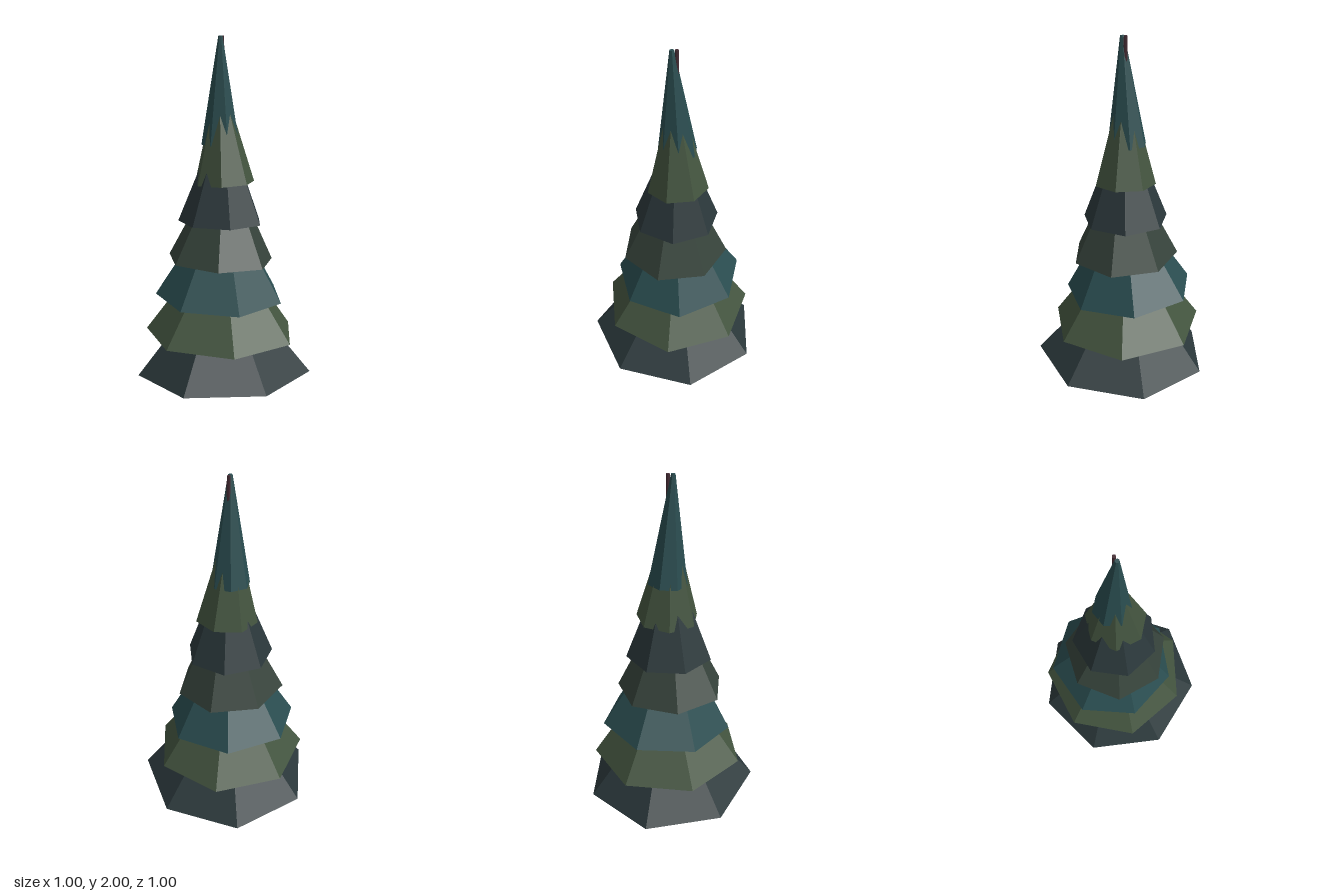
import * as THREE from 'three';

const SLATE = 0x2b383b, MOSS = 0x43543f, TEAL = 0x2a4d50, SAGE = 0x36433b, BARK = 0x452c34;
const TIER_HEIGHT = 0.6, TIP_RADIUS = 0.012;

// Branch tiers from the ground up: base centre, radius, angle of the first
// corner (degrees from +x towards +z), lean of the axis in x and z
const TIERS = [
  { base: [-0.014, 0.065, -0.014], radius: 0.515, corner: -6.7, lean: [0.007, -0.045], color: SLATE },
  { base: [-0.017, 0.285, -0.038], radius: 0.449, corner: 10.5, lean: [0.013, 0.01], color: MOSS },
  { base: [-0.015, 0.51, -0.055], radius: 0.38, corner: 3.1, lean: [-0.005, 0.06], color: TEAL },
  { base: [-0.029, 0.732, -0.03], radius: 0.312, corner: 21.4, lean: [0.03, 0.03], color: SAGE },
  { base: [-0.021, 0.955, -0.033], radius: 0.248, corner: 7.6, lean: [0.01, 0.015], color: SLATE },
  { base: [-0.004, 1.18, -0.027], radius: 0.176, corner: 24.4, lean: [-0.045, -0.005], color: MOSS },
  { base: [-0.016, 1.4, -0.042], radius: 0.111, corner: -0.6, lean: [-0.03, 0.045], color: TEAL },
];

function flatMesh(name, geometry, color) {
  const mesh = new THREE.Mesh(geometry, new THREE.MeshStandardMaterial({ color, flatShading: true }));
  mesh.name = name;
  return mesh;
}

// Seven-sided blunt cone standing on its base centre
function makeTier({ base, radius, corner, lean, color }, index) {
  const start = Math.PI / 2 - THREE.MathUtils.degToRad(corner);
  const geometry = new THREE.CylinderGeometry(TIP_RADIUS, radius, TIER_HEIGHT, 7, 1, false, start);
  geometry.translate(0, TIER_HEIGHT / 2, 0);
  const tier = flatMesh(`branchTier${index + 1}`, geometry, color);
  const axis = new THREE.Vector3(lean[0], 1, lean[1]).normalize();
  tier.quaternion.setFromUnitVectors(new THREE.Vector3(0, 1, 0), axis);
  tier.position.set(...base);
  return tier;
}

export function createModel() {
  const tree = new THREE.Group();
  tree.name = 'coniferTree';

  // Tapered trunk running through every tier
  const trunk = flatMesh('trunk', new THREE.CylinderGeometry(0.01, 0.027, 2, 7), BARK);
  trunk.position.set(-0.012, 1, -0.03);
  tree.add(trunk);

  tree.add(...TIERS.map(makeTier));
  return tree;
}
